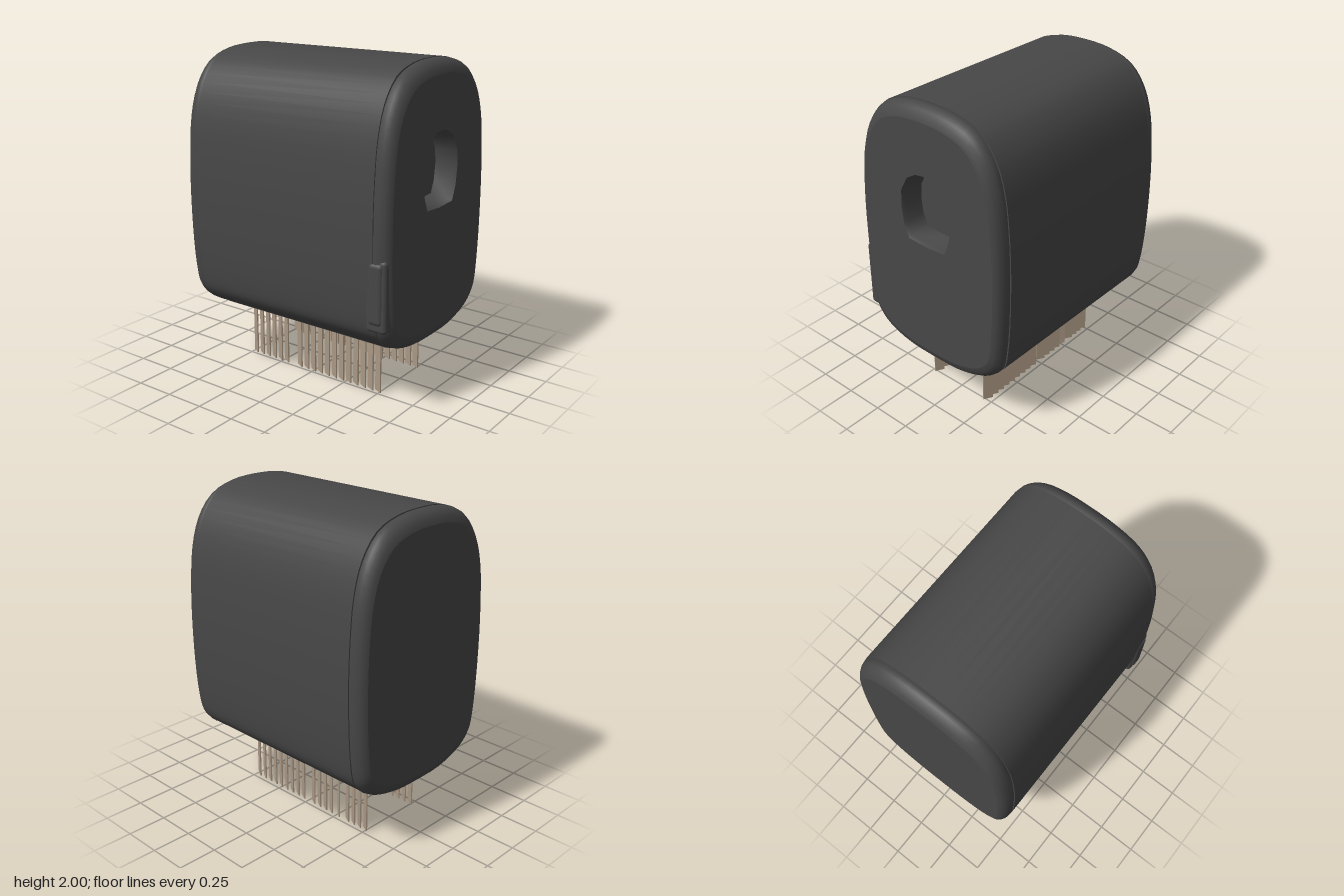
import * as THREE from 'three';
import { mergeVertices, toCreasedNormals } from 'three/addons/utils/BufferGeometryUtils.js';
import { RoundedBoxGeometry } from 'three/addons/geometries/RoundedBoxGeometry.js';

const V = (x, y) => new THREE.Vector2(x, y);
const MID = 1.165;

// Half of the end profile, bottom to top; mirrored into a counter-clockwise loop
const HALF = [[0.2, 0.338], [0.38, 0.39], [0.485, 0.48], [0.52, 0.6], [0.54, 0.85], [0.545, 1.15],
  [0.535, 1.4], [0.51, 1.62], [0.45, 1.8], [0.34, 1.93], [0.18, 1.987]];
const mirror = (half) => half.map(([x, y]) => V(-x, y)).reverse();
const right = HALF.map(([x, y]) => V(x, y));
const endLoop = new THREE.SplineCurve([V(0, 0.33), ...right, V(0, 2), ...mirror(HALF), V(0, 0.33)])
  .getPoints(72).slice(0, -1);

const HOLE = [[0.14, 1.16], [0.175, 1.25], [0.188, 1.36], [0.18, 1.46], [0.13, 1.55], [0.06, 1.592]];
const holeLoop = [...HOLE.map(([x, y]) => V(x, y)), V(0, 1.6), ...mirror(HOLE), V(0, 1.152)];

const scaled = (pts, s, cy) => pts.map((p) => V(p.x * s, cy + (p.y - cy) * s));

// Skin between closed rings stacked along z
function loft(rings) {
  const n = rings[0].pts.length, pos = [], idx = [];
  rings.forEach(({ pts, z }) => pts.forEach((p) => pos.push(p.x, p.y, z)));
  for (let k = 0; k < rings.length - 1; k++) {
    for (let i = 0; i < n; i++) {
      const j = (i + 1) % n, a = k * n + i, b = k * n + j;
      idx.push(a, b, b + n, a, b + n, a + n);
    }
  }
  const g = new THREE.BufferGeometry();
  g.setAttribute('position', new THREE.Float32BufferAttribute(pos, 3));
  g.setIndex(idx);
  g.computeVertexNormals();
  return g;
}

export function createModel() {
  const model = new THREE.Group();
  const dark = new THREE.MeshStandardMaterial({ color: 0x474747, side: THREE.DoubleSide });
  dark.name = 'charcoal plastic';
  const beige = new THREE.MeshStandardMaterial({ color: 0xab9884 });
  beige.name = 'beige pin';

  function add(parent, name, geometry, material, x = 0, y = 0, z = 0) {
    const mesh = new THREE.Mesh(geometry, material);
    mesh.name = name;
    mesh.position.set(x, y, z);
    parent.add(mesh);
    return mesh;
  }

  // Cover: a thin wall that runs over the top and stays open below
  const arch = new THREE.SplineCurve([...right.slice(1), V(0, 2), ...mirror(HALF.slice(1))]).getPoints(60);
  const wall = new THREE.Shape([...arch, ...scaled(arch, 0.94, MID).map((p) => V(p.x, Math.max(p.y, 0.4))).reverse()]);
  const coverGeo = new THREE.ExtrudeGeometry(wall, { depth: 1.3, bevelEnabled: false });
  coverGeo.translate(0, 0, -0.65);
  coverGeo.deleteAttribute('uv');
  coverGeo.deleteAttribute('normal');
  add(model, 'cover', toCreasedNormals(mergeVertices(coverGeo), 0.6), dark).rotation.y = Math.PI / 2;

  // End caps with rounded rims; the left one has a finger recess
  for (const side of [1, -1]) {
    const cap = new THREE.Group();
    cap.name = side > 0 ? 'leftEndCap' : 'rightEndCap';
    cap.rotation.y = side * Math.PI / 2;
    const steps = [[0.61, 0.98], [0.645, 0.98], [0.66, 0.998], [0.69, 0.99], [0.715, 0.97], [0.735, 0.94], [0.745, 0.9]];
    add(cap, 'capRim', loft(steps.map(([z, s]) => ({ z, pts: scaled(endLoop, s, MID) }))), dark);
    const face = new THREE.Shape(scaled(endLoop, 0.9, MID));
    if (side > 0) {
      face.holes.push(new THREE.Path(holeLoop));
      const pocket = [[0.745, 1], [0.72, 0.96], [0.61, 0.88]];
      add(cap, 'recessWall', loft(pocket.map(([z, s]) => ({ z, pts: scaled(holeLoop, s, 1.38) }))), dark);
    }
    add(cap, 'capFace', new THREE.ShapeGeometry(face), dark, 0, 0, 0.745);
    add(cap, 'capInside', new THREE.ShapeGeometry(new THREE.Shape(scaled(endLoop, 0.98, MID))), dark, 0, 0, 0.61);
    model.add(cap);
  }

  // Latch button in its frame on the front corner
  const latch = new THREE.Group();
  latch.name = 'latch';
  add(latch, 'latchFrame', new RoundedBoxGeometry(0.135, 0.43, 0.1, 3, 0.025), dark, 0.667, 0.75, 0.488);
  add(latch, 'latchButton', new RoundedBoxGeometry(0.1, 0.37, 0.1, 3, 0.03), dark, 0.665, 0.765, 0.5);
  model.add(latch);

  // Pin tray inside the open underside
  const tray = new THREE.Group();
  tray.name = 'pinTray';
  add(tray, 'trayFloor', new THREE.BoxGeometry(1.24, 0.04, 0.88), dark, 0, 0.5, 0);
  for (const z of [-0.31, 0, 0.31]) {
    add(tray, 'trayRail', new THREE.BoxGeometry(1.22, 0.13, 0.04), dark, 0, 0.425, z);
  }
  for (const x of [-0.56, -0.2, 0.2, 0.56]) {
    add(tray, 'trayRib', new THREE.BoxGeometry(0.03, 0.08, 0.8), dark, x, 0.45, 0);
  }
  model.add(tray);

  // Two rows of slanted pin blades, in runs of [start, end, count]
  const rows = [
    { name: 'frontPins', z: 0.217, runs: [[-0.51, -0.2, 6], [-0.145, 0.51, 12]] },
    { name: 'backPins', z: -0.208, runs: [[-0.51, -0.31, 4], [-0.28, -0.24, 1], [-0.22, -0.01, 4], [0.03, 0.51, 9]] },
  ];
  for (const { name, z, runs } of rows) {
    const row = new THREE.Group();
    row.name = name;
    for (const [start, end, count] of runs) {
      const pitch = (end - start) / count;
      const angle = Math.atan2(0.03, pitch);
      const blade = new THREE.BoxGeometry(Math.hypot(pitch, 0.03), 0.49, 0.008);
      for (let i = 0; i < count; i++) {
        add(row, 'pin', blade, beige, start + (i + 0.5) * pitch, 0.245, z).rotation.y = -angle;
      }
    }
    model.add(row);
  }
  return model;
}
